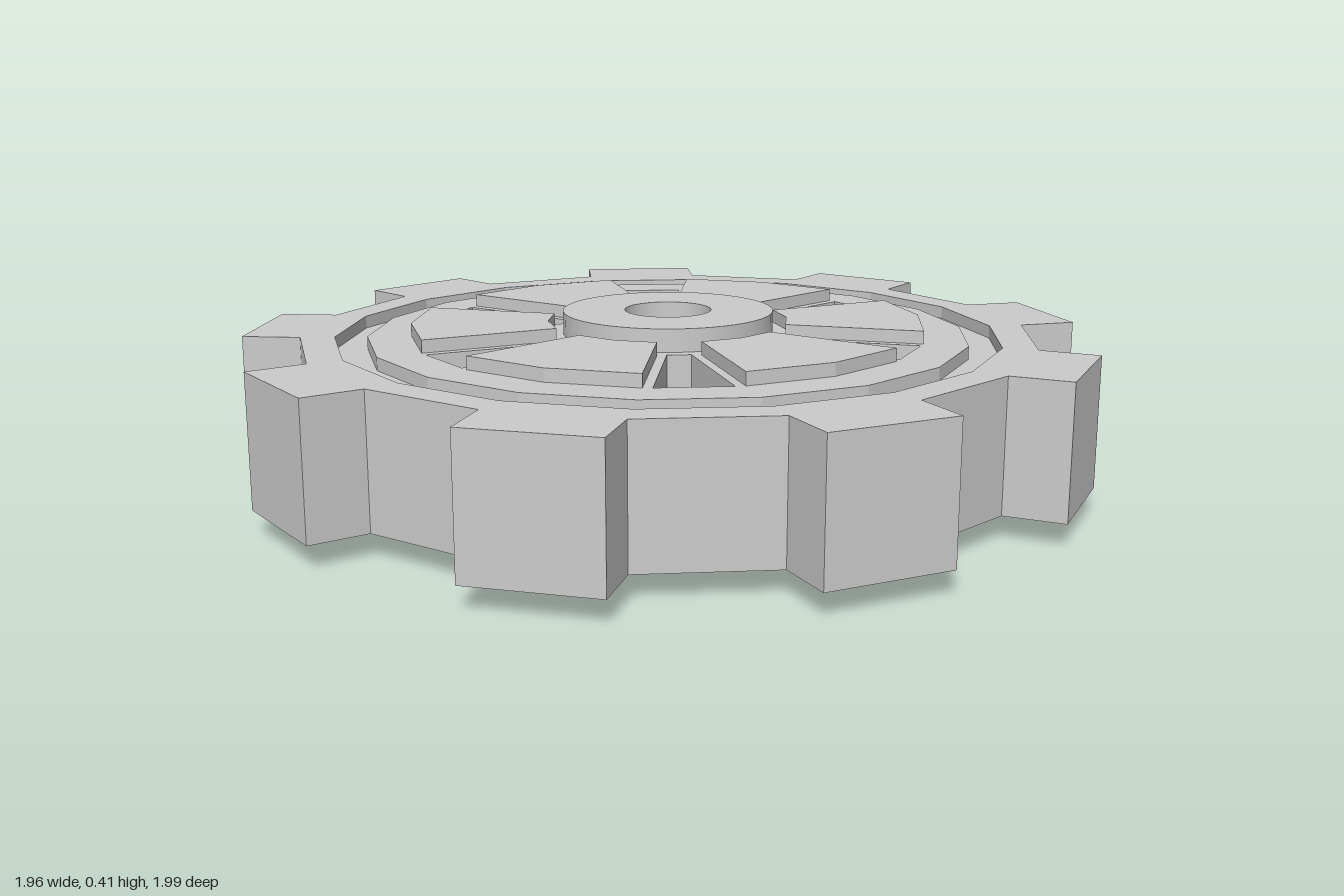
import * as THREE from 'three';
import { toCreasedNormals } from 'three/addons/utils/BufferGeometryUtils.js';

const MID = 0.205; // half the total height; everything mirrors about this level
const rad = (deg) => (deg * Math.PI) / 180;
const polar = (r, deg) => new THREE.Vector2(r * Math.cos(rad(deg)), r * Math.sin(rad(deg)));
const range = (n, f) => Array.from({ length: n }, (_, i) => f(i));

// 18-sided ring outline with corners at 10, 30, 50... degrees
const polygon = (r) => range(18, (i) => polar(r, 10 + i * 20));

// Extrude a flat outline (x, -z) upright, centred on the mid level
function plate(points, holes, halfHeight) {
  const shape = new THREE.Shape(points);
  for (const h of holes) shape.holes.push(new THREE.Path(h));
  const geo = new THREE.ExtrudeGeometry(shape, { depth: halfHeight * 2, bevelEnabled: false });
  geo.rotateX(-Math.PI / 2);
  geo.translate(0, MID - halfHeight, 0);
  return geo;
}

export function createModel() {
  const group = new THREE.Group();
  const flat = new THREE.MeshStandardMaterial({ color: 0xcccccc, flatShading: true });
  const smooth = new THREE.MeshStandardMaterial({ color: 0xcccccc });
  const add = (name, geo, material = flat) => {
    const mesh = new THREE.Mesh(geo, material);
    mesh.name = name;
    group.add(mesh);
  };

  // Rim with nine parallel-sided teeth
  const outline = [];
  for (let i = 0; i < 9; i++) {
    for (const [x, y] of [[0.847, -0.147], [0.986, -0.147], [0.986, 0.147], [0.847, 0.147]]) {
      outline.push(new THREE.Vector2(x, y).rotateAround(new THREE.Vector2(), rad(i * 40)));
    }
  }
  add('toothedRim', plate(outline, [polygon(0.78)], 0.152));

  // Floor of the shallow groove on both faces
  add('grooveFloor', plate(polygon(0.785), [polygon(0.70)], 0.122));

  // Wheel web with six windows, their sides inset from the radial lines
  const inset = 0.021;
  const windowCorner = (r, side) => {
    const c = r * Math.cos(rad(10));
    const s = r * Math.sin(rad(10)) - inset / Math.cos(rad(10));
    return new THREE.Vector2(c, side * s);
  };
  const windows = range(6, (i) =>
    [windowCorner(0.28, -1), windowCorner(0.603, -1), windowCorner(0.603, 1), windowCorner(0.28, 1)]
      .map((p) => p.rotateAround(new THREE.Vector2(), rad(20 + i * 60))));
  add('web', plate(polygon(0.705), [...windows, polygon(0.2)], 0.152));

  // Raised wedge panels between the windows
  for (let i = 0; i < 6; i++) {
    const a = 30 + i * 60;
    const wedge = [
      ...[0, 20, 40].map((d) => polar(0.603, a + d)),
      ...[40, 20, 0].map((d) => polar(0.283, a + d)),
    ];
    add('spokePanel' + (i + 1), plate(wedge, [], 0.182));
  }

  // Round hub with the axle hole
  const circle = (r) => range(48, (i) => polar(r, i * 7.5));
  add('hub', toCreasedNormals(plate(circle(0.248), [circle(0.102)], MID), 0.5), smooth);

  return group;
}
